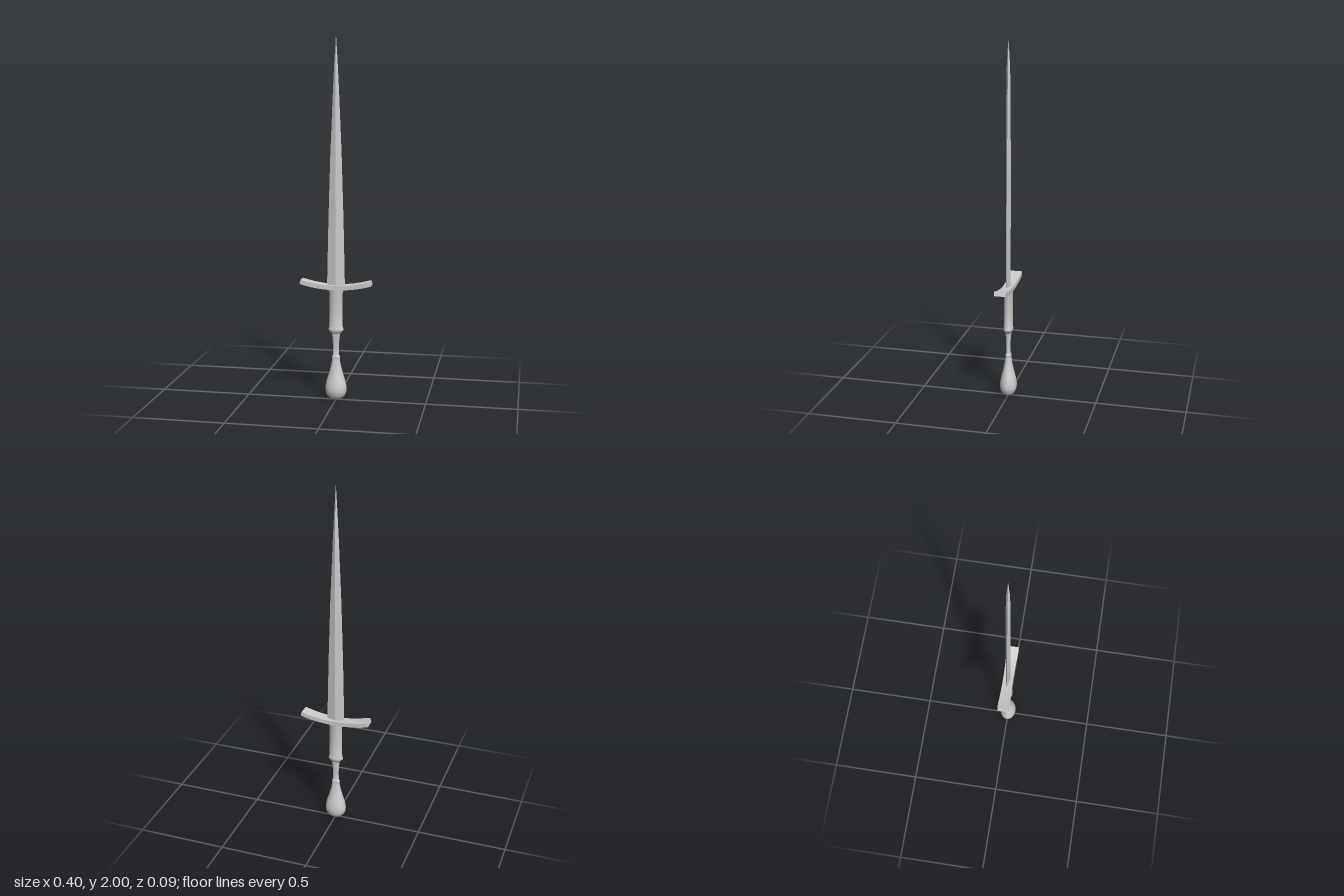
import * as THREE from 'three';
import { toCreasedNormals } from 'three/addons/utils/BufferGeometryUtils.js';

const material = new THREE.MeshStandardMaterial({ color: 0xcccccc });

// Skin a list of equal-length rings, with both ends capped
function loft(rings, crease) {
  const n = rings[0].length, index = [], last = (rings.length - 1) * n;
  for (let r = 0; r < rings.length - 1; r++) {
    for (let i = 0; i < n; i++) {
      const a = r * n + i, b = r * n + (i + 1) % n;
      index.push(a, b, b + n, a, b + n, a + n);
    }
  }
  for (let i = 1; i < n - 1; i++) {
    index.push(0, i + 1, i, last, last + i, last + i + 1);
  }
  const geometry = new THREE.BufferGeometry();
  geometry.setAttribute('position', new THREE.Float32BufferAttribute(rings.flat(2), 3));
  geometry.setIndex(index);
  return toCreasedNormals(geometry, crease);
}

// Turned part with an oval cross-section
function turned(profile, depth) {
  const points = profile.map(([r, y]) => new THREE.Vector2(r, y));
  const geometry = new THREE.LatheGeometry(points, 20);
  geometry.scale(1, 1, depth);
  return toCreasedNormals(geometry, 0.6);
}

export function createModel() {
  const group = new THREE.Group();
  const add = (name, geometry) => {
    const mesh = new THREE.Mesh(geometry, material);
    mesh.name = name;
    group.add(mesh);
  };

  // Blade: diamond section [y, half width, half thickness]
  const blade = [
    [0.63, 0.05, 0.013], [1.0, 0.042, 0.013], [1.37, 0.031, 0.013],
    [1.7, 0.017, 0.012], [1.86, 0.009, 0.009], [2.0, 0.0005, 0.0005],
  ].map(([y, w, t]) => [[w, y, 0], [0, y, -t], [-w, y, 0], [0, y, t]]);
  add('blade', loft(blade, 0.2));

  // Crossguard: bar swept along an upward curve, widening towards the ends
  const guard = [];
  const half = 0.195, rise = 0.75, h = 0.012;
  for (let i = -6; i <= 6; i++) {
    const x = half * i / 6, y = 0.636 + rise * x * x;
    const angle = Math.atan(2 * rise * x);
    const dx = -Math.sin(angle) * h, dy = Math.cos(angle) * h;
    const t = Math.abs(x);
    const d = t < 0.165 ? 0.029 + 0.005 * (t / 0.165) ** 2 : 0.034 - 0.07 * (t - 0.165);
    guard.push([
      [x + dx, y + dy, -d], [x + dx, y + dy, d],
      [x - dx, y - dy, d], [x - dx, y - dy, -d],
    ]);
  }
  add('crossguard', loft(guard, 0.6));

  // Grip with a collar at its lower end and a slight flare under the guard
  add('grip', turned([
    [0.02, 0.37], [0.028, 0.378], [0.042, 0.395], [0.042, 0.403], [0.038, 0.412],
    [0.037, 0.5], [0.037, 0.6], [0.042, 0.62], [0.042, 0.632], [0, 0.632],
  ], 0.64));

  // Slim neck with a small ring at the bottom
  add('neck', turned([
    [0.019, 0.22], [0.023, 0.232], [0.024, 0.24], [0.023, 0.247], [0.018, 0.253],
    [0.017, 0.3], [0.019, 0.345], [0.025, 0.38],
  ], 0.7));

  // Teardrop pommel
  const pommel = new THREE.SplineCurve([
    [0, 0], [0.033, 0.008], [0.053, 0.03], [0.06, 0.06], [0.055, 0.098],
    [0.041, 0.145], [0.029, 0.19], [0.021, 0.235],
  ].map(([x, y]) => new THREE.Vector2(x, y))).getPoints(24);
  add('pommel', turned(pommel.map((p) => [Math.max(p.x, 0), Math.max(p.y, 0)]), 0.78));

  return group;
}
